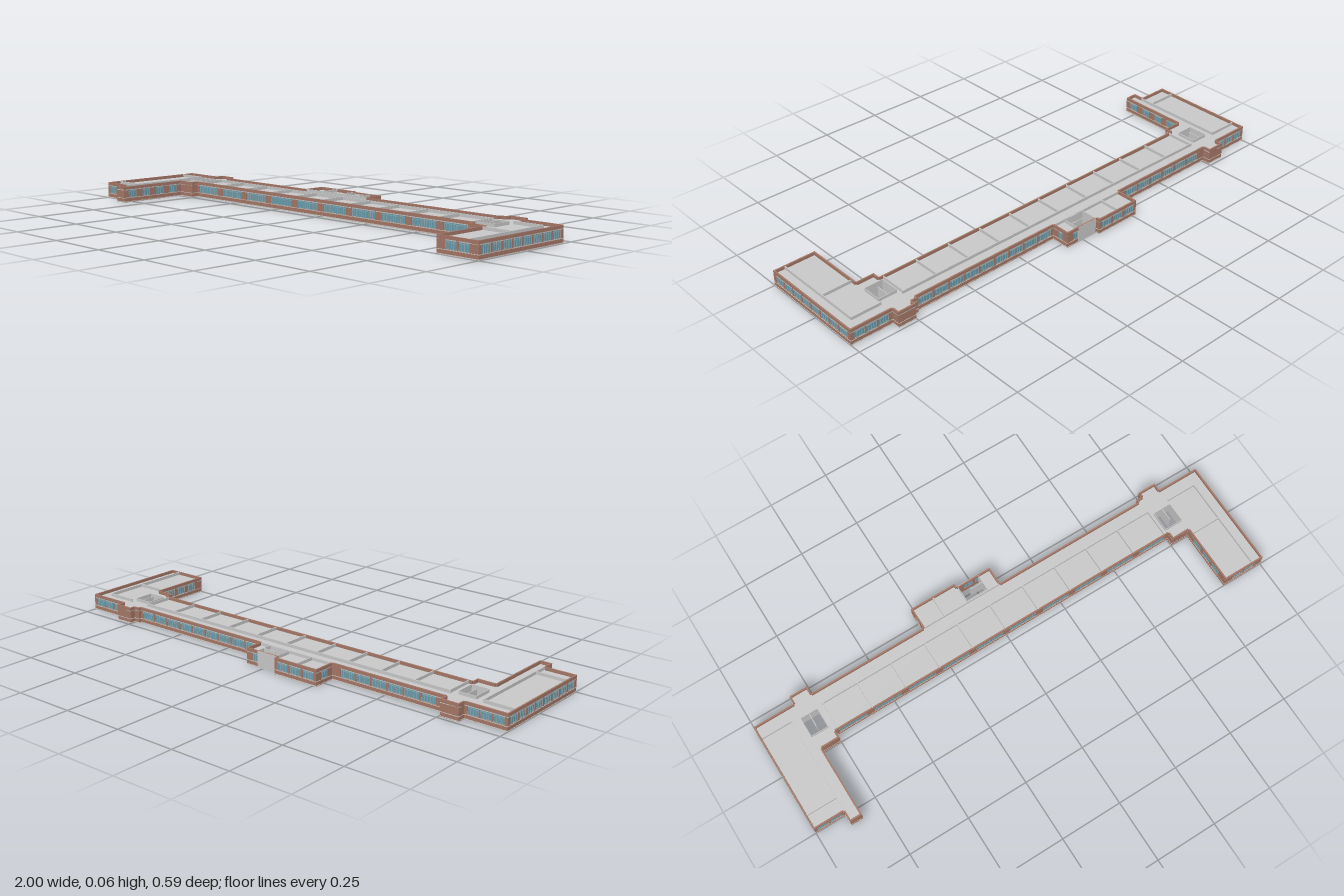
import * as THREE from 'three';
import { mergeGeometries } from 'three/addons/utils/BufferGeometryUtils.js';

const H = 0.065, T = 0.006, SILL = 0.02, HEAD = 0.053, CEIL = 0.053;
const mat = (color) => new THREE.MeshStandardMaterial({ color });
const grey = mat(0xcccccc), brick = mat(0xa87a6a), glassMat = mat(0x6a9fb0), frameMat = mat(0x9db4ba), trim = mat(0xd8cfc6);

// Outline as [x, z, window period, window width, end margin] for the wall starting at that corner
const OUTLINE = [
  [-1, -0.204, 0.05, 0.044, 0.008], [-0.83, -0.204], [-0.83, -0.237], [-0.755, -0.237],
  [-0.755, -0.204, 0.07, 0.062, 0.01], [-0.265, -0.204, 0.045, 0.035, 0.015],
  [-0.265, -0.295, 0.06, 0.05, 0.008], [-0.07, -0.295], [-0.07, -0.28, 0.05, 0.04, 0.01],
  [0.08, -0.28, 0.035, 0.025, 0.01], [0.08, -0.204, 0.07, 0.062, 0.01], [0.725, -0.204],
  [0.725, -0.215], [0.75, -0.215], [0.75, -0.237], [0.825, -0.237], [0.825, -0.204, 0.05, 0.044, 0.008],
  [1, -0.204, 0.054, 0.047, 0.01], [1, 0.25, 0.055, 0.046, 0.012], [0.825, 0.25, 0.06, 0.046, 0.02],
  [0.825, 0], [0.75, 0], [0.75, -0.03, 0.15, 0.118, 0.003], [-0.75, -0.03], [-0.75, 0], [-0.825, 0, 0.07, 0.04, 0.02],
  [-0.825, 0.295], [-0.875, 0.295], [-0.875, 0.25, 0.055, 0.046, 0.006], [-1, 0.25, 0.054, 0.047, 0.01],
];
// Stairwells: x0, x1, z0, z1
const WELLS = [[-0.835, -0.765, -0.14, -0.06], [0.75, 0.825, -0.13, -0.05], [-0.065, 0.025, -0.279, -0.21]];

function box(x0, x1, y0, y1, z0, z1) {
  return new THREE.BoxGeometry(x1 - x0, y1 - y0, z1 - z0)
    .translate((x0 + x1) / 2, (y0 + y1) / 2, (z0 + z1) / 2);
}

function rectPath(x0, x1, y0, y1) {
  return new THREE.Path([[x0, y0], [x1, y0], [x1, y1], [x0, y1]].map(([x, y]) => new THREE.Vector2(x, y)));
}

function addMesh(parent, name, parts, material) {
  if (!parts.length) return;
  const mesh = new THREE.Mesh(mergeGeometries(parts), material);
  mesh.name = name;
  parent.add(mesh);
}

// Horizontal plate over the whole outline with the stairwells cut out
function slab(y, thickness) {
  const shape = new THREE.Shape(OUTLINE.map(([x, z]) => new THREE.Vector2(x, -z)));
  for (const [x0, x1, z0, z1] of WELLS) shape.holes.push(rectPath(x0, x1, -z1, -z0));
  return new THREE.ExtrudeGeometry(shape, { depth: thickness, bevelEnabled: false })
    .rotateX(-Math.PI / 2).translate(0, y, 0);
}

// One outer wall: local x runs along it, local +z points indoors
function outerWall(start, end) {
  const [x, z, period, width, margin] = start;
  const dx = end[0] - x, dz = end[1] - z, length = Math.hypot(dx, dz);
  const shape = new THREE.Shape(rectPath(0, length, 0, H).getPoints());
  const glass = [], frames = [];
  if (period) {
    const count = Math.max(1, Math.floor((length - 2 * margin + period - width + 1e-6) / period));
    const first = (length - (count - 1) * period - width) / 2;
    for (let i = 0; i < count; i++) {
      const a = first + i * period, b = a + width;
      shape.holes.push(rectPath(a, b, SILL, HEAD));
      glass.push(box(a, b, SILL, HEAD, 0.003, 0.004));
      // Upright bars and a transom
      const lights = Math.max(2, Math.round(width / 0.012));
      for (let k = 0; k <= lights; k++) {
        const c = a + 0.0007 + (width - 0.0014) * k / lights;
        frames.push(box(c - 0.0007, c + 0.0007, SILL, HEAD, 0.0015, 0.005));
      }
      for (const y of [SILL, 0.044, HEAD - 0.0012]) frames.push(box(a, b, y, y + 0.0012, 0.0018, 0.0048));
    }
  }
  const group = new THREE.Group();
  group.name = 'outerWall';
  addMesh(group, 'brickwork', [new THREE.ExtrudeGeometry(shape, { depth: T, bevelEnabled: false })], brick);
  addMesh(group, 'windowGlass', glass, glassMat);
  addMesh(group, 'windowFrames', frames, frameMat);
  addMesh(group, 'trimBands', [
    box(0, length, 0.0175, 0.0195, -0.0008, 0.001),
    box(0, length, 0.002, 0.004, -0.0008, 0.001),
  ], trim);
  group.position.set(x, 0, z);
  group.rotation.y = Math.atan2(-dz, dx);
  return group;
}

export function createModel() {
  const model = new THREE.Group();
  model.name = 'schoolFloor';

  addMesh(model, 'floorSlab', [slab(0, 0.003)], grey);
  addMesh(model, 'ceilingSlab', [slab(CEIL - 0.003, 0.003)], grey);
  OUTLINE.forEach((p, i) => model.add(outerWall(p, OUTLINE[(i + 1) % OUTLINE.length])));

  // Partitions rise past the ceiling to the wall tops
  const partitions = [];
  const alongX = (x0, x1, z) => partitions.push(box(x0, x1, 0.003, H, z - 0.002, z + 0.002));
  const alongZ = (x, z0, z1) => partitions.push(box(x - 0.002, x + 0.002, 0.003, H, z0, z1));
  alongX(-0.74, 0.74, -0.15);
  for (let i = 0; i <= 10; i++) alongZ(-0.735 + i * 0.147, -0.15, -0.034);
  alongX(-0.26, 0.075, -0.204);
  alongZ(-0.17, -0.29, -0.204);
  // Wing corridors and cross walls
  alongZ(-0.87, -0.15, 0.25);
  alongX(-0.995, -0.87, -0.15);
  alongX(-0.995, -0.87, 0.19);
  alongZ(0.955, -0.15, 0.245);
  alongX(0.83, 0.955, -0.15);
  alongX(0.83, 0.955, 0.02);
  addMesh(model, 'partitions', partitions, grey);

  // Stairwell enclosures with a central spine
  const shafts = [];
  for (const [x0, x1, z0, z1] of WELLS) {
    for (const x of [x0 - 0.002, x1]) shafts.push(box(x, x + 0.002, 0, H, z0, z1));
    for (const z of [z0 - 0.002, z1]) shafts.push(box(x0, x1, 0, H, z, z + 0.002));
  }
  shafts.push(box(-0.802, -0.799, 0, H, -0.139, -0.085));
  shafts.push(box(0.786, 0.789, 0, H, -0.129, -0.075));
  shafts.push(box(-0.03, 0.025, 0, H, -0.246, -0.243));
  addMesh(model, 'stairwells', shafts, grey);

  return model;
}
